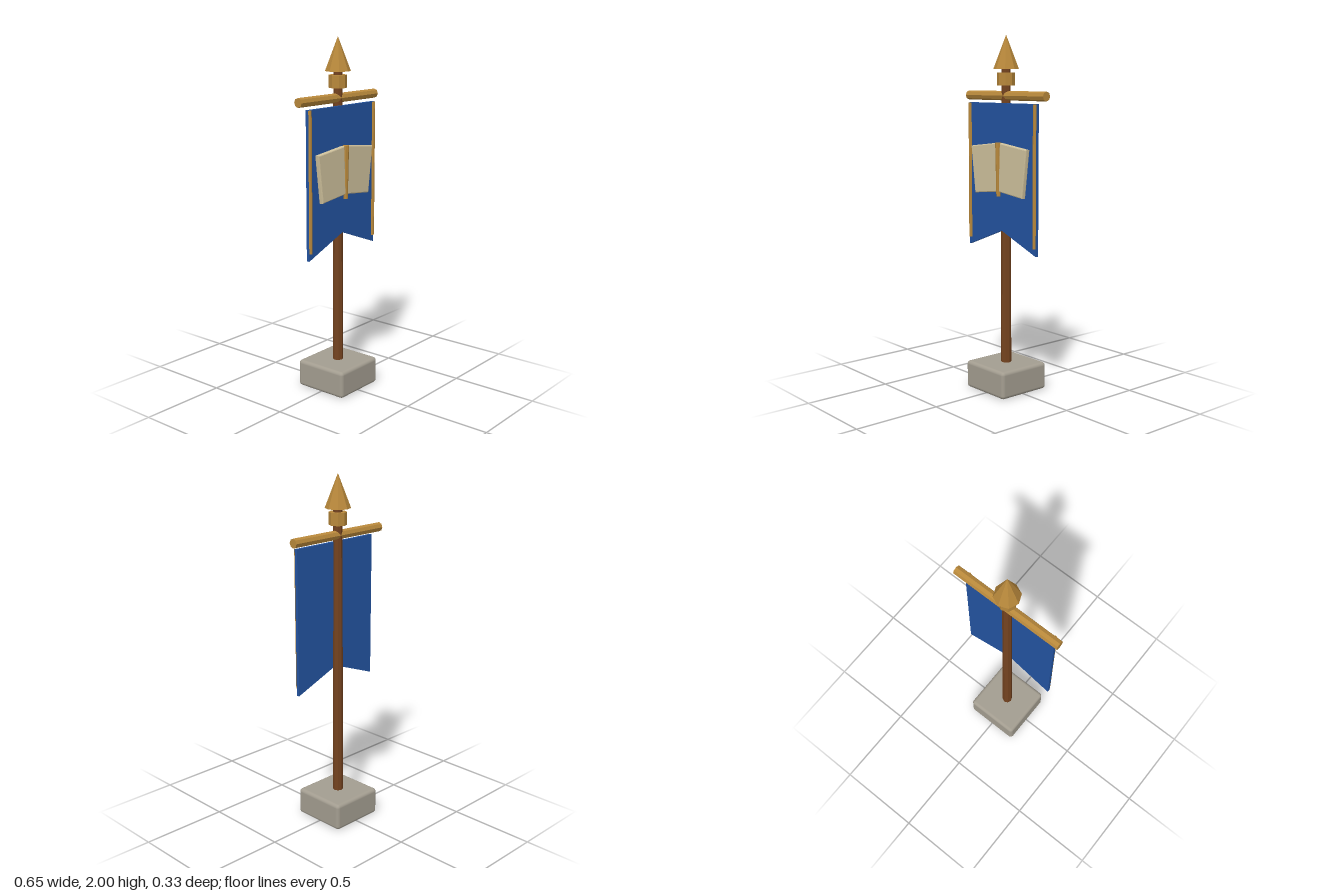
import * as THREE from 'three';
import { RoundedBoxGeometry } from 'three/addons/geometries/RoundedBoxGeometry.js';

export function createModel() {
  const model = new THREE.Group();
  model.name = 'bannerStand';

  const material = (name, color, flatShading = true) => {
    const m = new THREE.MeshStandardMaterial({ color, flatShading });
    m.name = name;
    return m;
  };
  const stone = material('stone', 0xa39d90, false);
  const wood = material('wood', 0x74431f);
  const gold = material('gold', 0xb8883b);
  const blue = material('blueCloth', 0x2353a0);
  const paper = material('paper', 0xcfc19c);

  const add = (name, geometry, mat, x = 0, y = 0, z = 0) => {
    const mesh = new THREE.Mesh(geometry, mat);
    mesh.name = name;
    mesh.position.set(x, y, z);
    model.add(mesh);
    return mesh;
  };
  // Upright round part between two heights
  const post = (name, rTop, rBottom, y0, y1, mat, x = 0, z = 0, sides = 8) =>
    add(name, new THREE.CylinderGeometry(rTop, rBottom, y1 - y0, sides), mat, x, (y0 + y1) / 2, z);
  const outline = (points) => new THREE.Shape(points.map(([x, y]) => new THREE.Vector2(x, y)));

  // Base, pole and finial
  add('base', new RoundedBoxGeometry(0.326, 0.156, 0.326, 3, 0.02), stone, 0, 0.078, 0);
  post('pole', 0.025, 0.03, 0.14, 1.82, wood);
  post('collar', 0.05, 0.05, 1.725, 1.795, gold);
  post('spearTip', 0, 0.071, 1.815, 2, gold);

  // Crossbar
  const bar = post('crossbar', 0.026, 0.026, -0.327, 0.327, gold);
  bar.position.set(0, 1.67, 0);
  bar.rotation.z = Math.PI / 2;

  // Cloth with a notched lower edge
  const cloth = outline([[-0.285, 1.63], [-0.285, 0.81], [0, 0.92], [0.285, 0.81], [0.285, 1.63]]);
  add('banner', new THREE.ExtrudeGeometry(cloth, { depth: 0.018, bevelEnabled: false }), blue, 0, 0, 0.016);

  // Side trims and the two book pages
  const bevel = 0.006;
  for (const side of [-1, 1]) {
    const label = side > 0 ? 'left' : 'right';
    post(label + 'Trim', 0.011, 0.011, 0.852, 1.628, gold, side * 0.274, 0.034);

    const corners = [[0.004, 1.141], [0.201, 1.119], [0.235, 1.386], [0.016, 1.412]];
    const page = outline(corners.map(([x, y]) => [side * x, y]));
    add(label + 'Page', new THREE.ExtrudeGeometry(page, {
      depth: 0.028 - 2 * bevel, bevelThickness: bevel, bevelSize: bevel, bevelOffset: -bevel, bevelSegments: 2,
    }), paper, 0, 0, 0.034 + bevel);
  }

  // Book spine
  post('spine', 0.018, 0.012, 1.115, 1.414, gold, 0, 0.056);

  return model;
}
